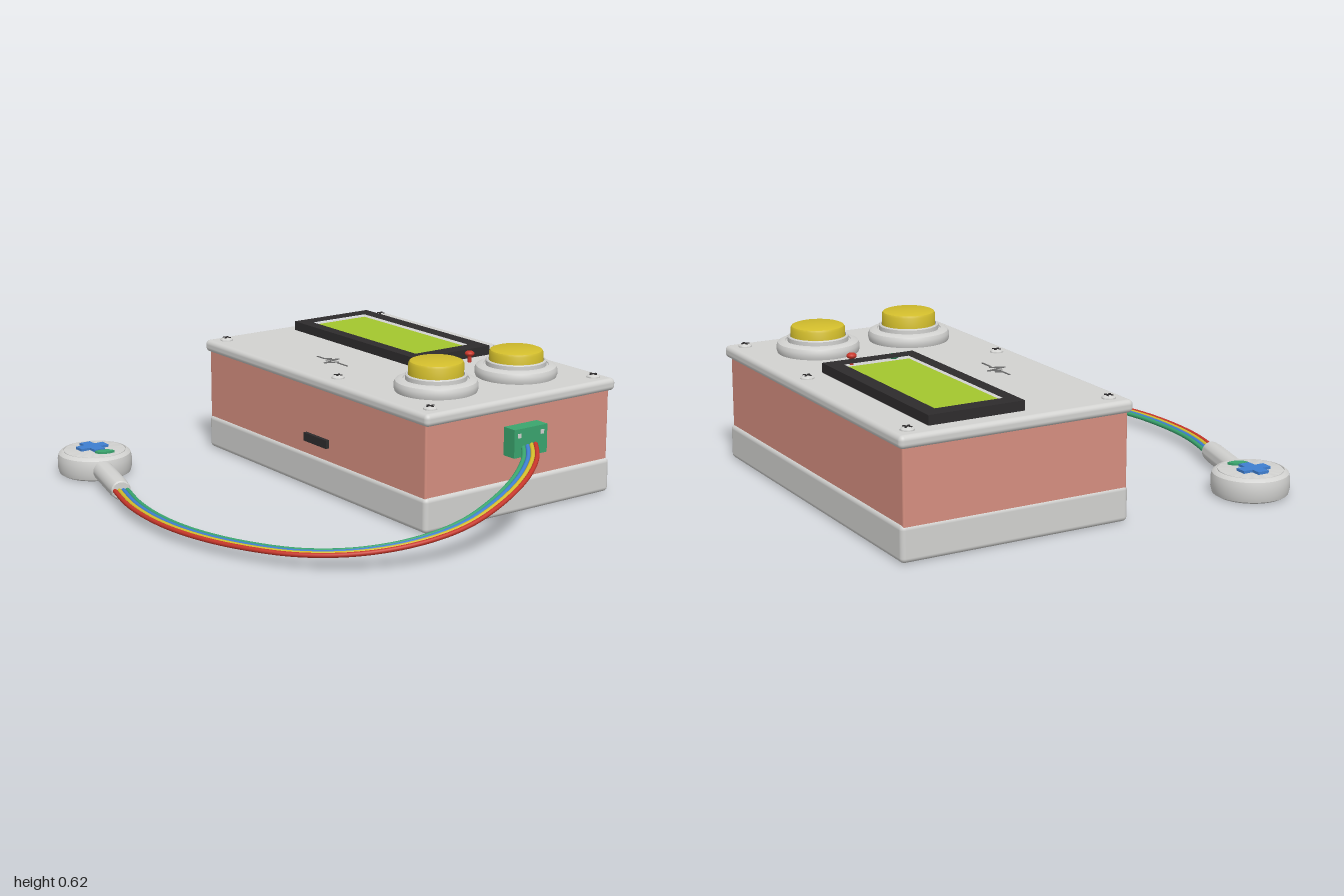
import * as THREE from 'three';
import { RoundedBoxGeometry } from 'three/addons/geometries/RoundedBoxGeometry.js';
import { toCreasedNormals } from 'three/addons/utils/BufferGeometryUtils.js';

const mat = (name, color) => {
  const m = new THREE.MeshStandardMaterial({ color });
  m.name = name;
  return m;
};

export function createModel() {
  const root = new THREE.Group();
  root.name = 'heartMonitor';
  const shell = mat('shellGrey', 0xd2d2d0), salmon = mat('salmon', 0xd68f80), dark = mat('charcoal', 0x2e2c2d);
  const lime = mat('screenLime', 0xa3c62e), yellow = mat('buttonYellow', 0xd2bd2c), green = mat('green', 0x3aa56e);
  const blue = mat('blue', 0x3f7fd0), red = mat('red', 0xc8372b), grey = mat('markGrey', 0x707070);

  const add = (name, geo, material, x = 0, y = 0, z = 0, parent = root) => {
    const m = new THREE.Mesh(geo, material);
    m.name = name;
    m.position.set(x, y, z);
    parent.add(m);
    return m;
  };
  // Box given by its minimum and maximum corners, optionally rounded
  const span = (name, material, a, b, r = 0) => {
    const s = b.map((v, i) => v - a[i]);
    const geo = r ? new RoundedBoxGeometry(...s, 4, r) : new THREE.BoxGeometry(...s);
    return add(name, geo, material, ...a.map((v, i) => (v + b[i]) / 2));
  };
  const lathe = (pts, segs = 64) =>
    toCreasedNormals(new THREE.LatheGeometry(pts.map(p => new THREE.Vector2(...p)), segs), 0.6);
  // Flat outline in x and -z, extruded upward
  const plate = (shape, depth) =>
    new THREE.ExtrudeGeometry(shape, { depth, bevelEnabled: false, curveSegments: 16 }).rotateX(-Math.PI / 2);
  const rect = (C, x0, x1, z0, z1) => {
    const s = new C();
    s.moveTo(x0, -z0);
    s.lineTo(x1, -z0);
    s.lineTo(x1, -z1);
    s.lineTo(x0, -z1);
    s.closePath();
    return s;
  };

  // Case
  span('base', shell, [-0.89, 0, -0.915], [0.674, 0.147, 0.07], 0.02);
  span('body', salmon, [-0.886, 0.13, -0.905], [0.663, 0.45, 0.062], 0.008);
  span('lid', shell, [-0.91, 0.438, -0.926], [0.684, 0.49, 0.075], 0.02);
  span('frontPort', dark, [-0.14, 0.2, 0.05], [0.02, 0.236, 0.078]);

  // Display
  const frame = rect(THREE.Shape, -0.832, 0.056, -0.77, -0.363);
  frame.holes.push(rect(THREE.Path, -0.763, -0.013, -0.706, -0.417));
  add('screenFrame', plate(frame, 0.042), dark, 0, 0.488, 0);
  span('screen', lime, [-0.765, 0.488, -0.708], [-0.011, 0.518, -0.415]);

  // Push buttons with collars
  const collar = lathe([[0.168, 0], [0.172, 0.012], [0.172, 0.03], [0.166, 0.043], [0.152, 0.05], [0.135, 0.052],
    [0.133, 0.047], [0.126, 0.047], [0.126, 0.066], [0.122, 0.07], [0.117, 0.07], [0.117, 0.05], [0, 0.05]]);
  const cap = lathe([[0.113, 0], [0.113, 0.055], [0.108, 0.064], [0.098, 0.068], [0, 0.068]]);
  [[0.396, -0.626, 0.535], [0.393, -0.203, 0.547]].forEach(([x, z, y], i) => {
    add('buttonCollar' + i, collar, shell, x, 0.489, z);
    add('buttonCap' + i, cap, yellow, x, y, z);
  });

  // Indicator lamps
  add('redLamp', new THREE.SphereGeometry(0.021, 16, 10).scale(1, 0.6, 1), red, 0.112, 0.528, -0.612);
  add('redLampStem', new THREE.CylinderGeometry(0.008, 0.008, 0.04, 12), red, 0.112, 0.507, -0.612);
  add('greenLamp', new THREE.SphereGeometry(0.021, 16, 10).scale(1, 0.6, 1), green, 0.12, 0.5, -0.417);

  // Lid screws with cross slots
  const head = lathe([[0.028, 0], [0.027, 0.006], [0.018, 0.013], [0, 0.015]], 24);
  for (const x of [-0.84, 0.004, 0.614]) for (const z of [-0.86, 0.003]) {
    const s = new THREE.Group();
    s.name = 'screw';
    s.position.set(x, 0.489, z);
    s.rotation.y = x < 0.5 ? 0.7 : 0;
    root.add(s);
    add('screwHead', head, shell, 0, 0, 0, s);
    add('slotA', new THREE.BoxGeometry(0.036, 0.006, 0.008), dark, 0, 0.013, 0, s);
    add('slotB', new THREE.BoxGeometry(0.008, 0.006, 0.036), dark, 0, 0.013, 0, s);
  }

  // Pulse line
  const pulse = [[-0.35, 0], [-0.3, 0], [-0.284, -0.024], [-0.27, 0.01], [-0.257, -0.045], [-0.236, 0.045],
    [-0.214, -0.01], [-0.2, 0], [-0.135, 0]];
  for (let i = 1; i < pulse.length; i++) {
    const [a, b] = pulse[i - 1], [c, d] = pulse[i];
    const seg = add('pulseLine', new THREE.BoxGeometry(Math.hypot(c - a, d - b) + 0.004, 0.004, 0.007), grey,
      (a + c) / 2, 0.491, (b + d) / 2 - 0.145);
    seg.rotation.y = -Math.atan2(d - b, c - a);
  }

  // Side connector
  span('connector', green, [0.655, 0.255, -0.51], [0.728, 0.373, -0.337]);
  for (const z of [-0.363, -0.483])
    add('connectorPin', new THREE.BoxGeometry(0.006, 0.018, 0.018), shell, 0.727, 0.345, z);

  // Four-wire ribbon cable, each wire offset sideways from the centre path
  const path = new THREE.CatmullRomCurve3([
    [0.715, 0.3, -0.425], [0.8, 0.277, -0.36], [0.89, 0.235, -0.23], [0.945, 0.18, -0.06], [0.963, 0.13, 0.12],
    [0.932, 0.095, 0.32], [0.84, 0.07, 0.51], [0.69, 0.056, 0.67], [0.47, 0.049, 0.79], [0.25, 0.047, 0.86],
    [0.03, 0.046, 0.883], [-0.2, 0.047, 0.865], [-0.43, 0.048, 0.805]].map(p => new THREE.Vector3(...p)));
  [['green', green], ['blue', blue], ['yellow', yellow], ['red', red]].forEach(([n, m], i) => {
    const pts = [];
    for (let k = 0; k <= 40; k++) {
      const p = path.getPointAt(k / 40), t = path.getTangentAt(k / 40);
      const side = new THREE.Vector3(t.z, 0, -t.x).normalize();
      pts.push(p.addScaledVector(side, (i - 1.5) * 0.0175));
    }
    add(n + 'Wire', new THREE.TubeGeometry(new THREE.CatmullRomCurve3(pts), 120, 0.0095, 10), m);
  });

  // Sensor disc
  const disc = lathe([[0, 0], [0.14, 0], [0.153, 0.008], [0.159, 0.03], [0.159, 0.07], [0.154, 0.09], [0.142, 0.1],
    [0.136, 0.102], [0.135, 0.098], [0.132, 0.098], [0.131, 0.102], [0, 0.104]]);
  add('sensorDisc', disc, shell, -0.84, 0, 0.69);

  // Sensor handle, running from the disc to the cable
  const handle = lathe([[0, 0], [0.044, 0], [0.044, 0.26], [0.041, 0.3], [0.036, 0.306], [0, 0.306]], 32);
  const h = add('sensorHandle', handle, shell, -0.7, 0.047, 0.73);
  h.quaternion.setFromUnitVectors(new THREE.Vector3(0, 1, 0), new THREE.Vector3(0.29, 0, 0.08).normalize());

  // Cross and leaf on the sensor
  const L = 0.066, W = 0.025;
  const cross = new THREE.Shape([[W, L], [-W, L], [-W, W], [-L, W], [-L, -W], [-W, -W], [-W, -L], [W, -L], [W, -W],
    [L, -W], [L, W], [W, W]].map(p => new THREE.Vector2(...p)));
  add('sensorCross', plate(cross, 0.012), blue, -0.86, 0.102, 0.69);
  const leaf = new THREE.Shape();
  leaf.moveTo(-0.018, -0.038);
  leaf.bezierCurveTo(0.02, -0.034, 0.026, 0.01, 0.018, 0.038);
  leaf.bezierCurveTo(-0.02, 0.03, -0.028, -0.005, -0.018, -0.038);
  add('sensorLeaf', plate(leaf, 0.011), green, -0.765, 0.101, 0.682);

  return root;
}
